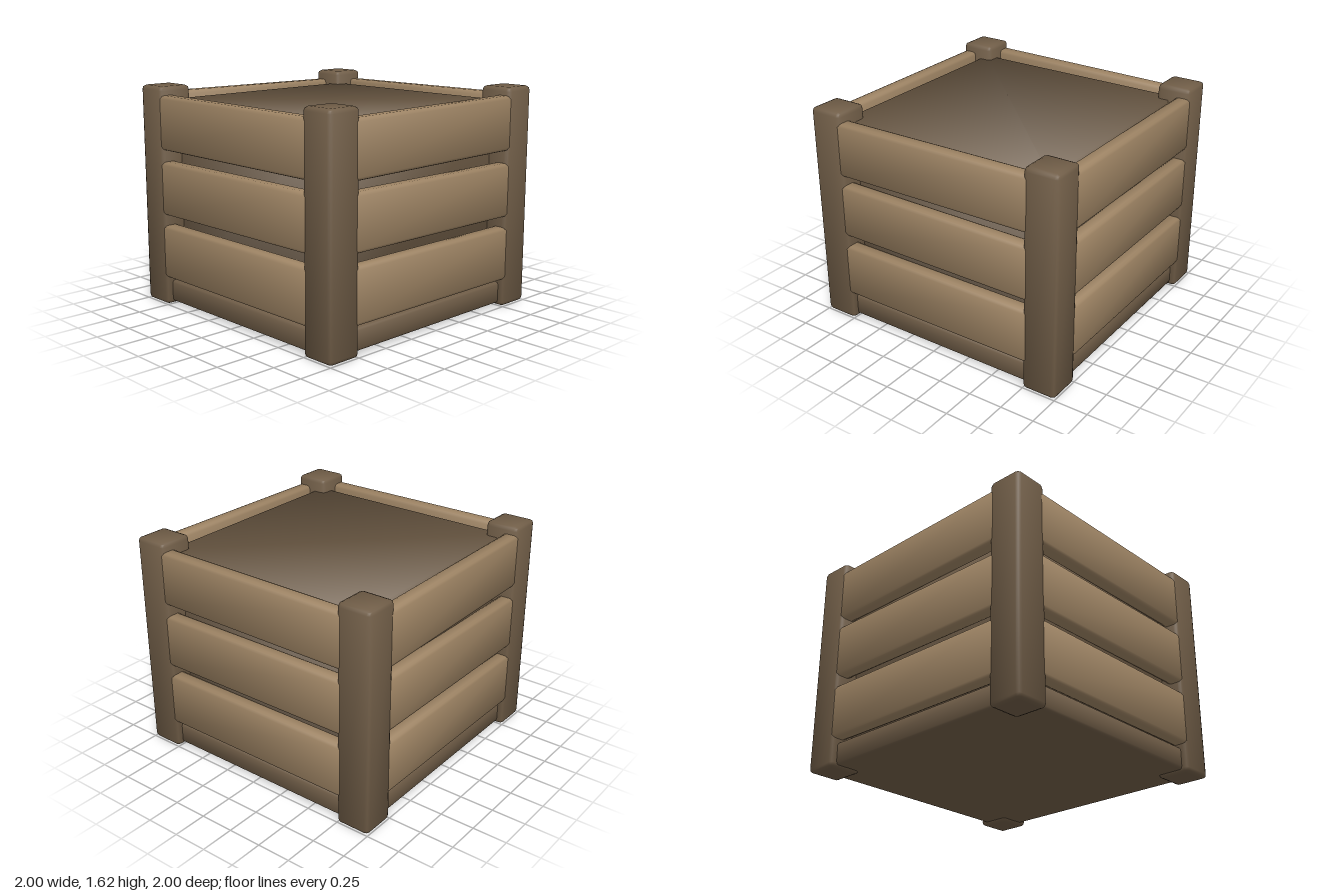
import * as THREE from 'three';

// Box with rounded edges whose soft normals lean gently outward across each face
function softBox(w, h, d, bevel, lean = 0.36) {
  const geo = new THREE.BoxGeometry(2, 2, 2, 3, 3, 3);
  const pos = geo.attributes.position, nor = geo.attributes.normal;
  const half = [w / 2, h / 2, d / 2];
  const dir = new THREE.Vector3(), n = new THREE.Vector3();
  for (let i = 0; i < pos.count; i++) {
    const c = [pos.getX(i), pos.getY(i), pos.getZ(i)];
    const s = c.map(Math.sign);
    const outer = c.map(v => Math.abs(v) > 0.99);
    dir.set(...s.map((v, k) => (outer[k] ? v : 0))).normalize();
    n.set(...s.map((v, k) => (outer[k] ? v : v * lean))).normalize();
    pos.setXYZ(i, ...s.map((v, k) => v * (half[k] - bevel) + bevel * dir.getComponent(k)));
    nor.setXYZ(i, n.x, n.y, n.z);
  }
  return geo;
}

// Plain box shaded smoothly around its eight corners
function smoothBox(w, h, d) {
  const geo = new THREE.BoxGeometry(w, h, d);
  const pos = geo.attributes.position, nor = geo.attributes.normal;
  const k = 1 / Math.sqrt(3);
  for (let i = 0; i < pos.count; i++) {
    nor.setXYZ(i, Math.sign(pos.getX(i)) * k, Math.sign(pos.getY(i)) * k, Math.sign(pos.getZ(i)) * k);
  }
  return geo;
}

export function createModel() {
  const crate = new THREE.Group();
  crate.name = 'crate';

  const darkWood = new THREE.MeshStandardMaterial({ color: 0x705d47 });
  darkWood.name = 'darkWood';
  const lightWood = new THREE.MeshStandardMaterial({ color: 0x9d8363 });
  lightWood.name = 'lightWood';

  const add = (parent, name, geo, mat, x, y, z) => {
    const mesh = new THREE.Mesh(geo, mat);
    mesh.name = name;
    mesh.position.set(x, y, z);
    parent.add(mesh);
    return mesh;
  };

  // Inner body and base slab
  add(crate, 'innerBody', smoothBox(1.675, 1.41, 1.675), darkWood, 0, 0.805, 0);
  add(crate, 'baseSlab', softBox(1.91, 0.16, 1.91, 0.02), darkWood, 0, 0.1, 0);

  // Corner posts
  const postGeo = softBox(0.255, 1.615, 0.255, 0.03, 0.3);
  for (const x of [-1, 1]) {
    for (const z of [-1, 1]) {
      add(crate, 'cornerPost', postGeo, darkWood, x * 0.8725, 0.8075, z * 0.8725);
    }
  }

  // Three planks per side, each nailed on slightly crooked
  const plankGeo = softBox(1.6, 0.395, 0.107, 0.025);
  const heights = [0.403, 0.877, 1.352];
  const tilts = [[-0.002, 0.002, -0.004], [-0.003, -0.005, 0.01]];
  ['front', 'right', 'back', 'left'].forEach((name, i) => {
    const side = new THREE.Group();
    side.name = name + 'Planks';
    side.rotation.y = -i * Math.PI / 2;
    heights.forEach((y, j) => {
      add(side, 'plank', plankGeo, lightWood, 0, y, 0.9435).rotation.z = tilts[i % 2][j];
    });
    crate.add(side);
  });

  return crate;
}
